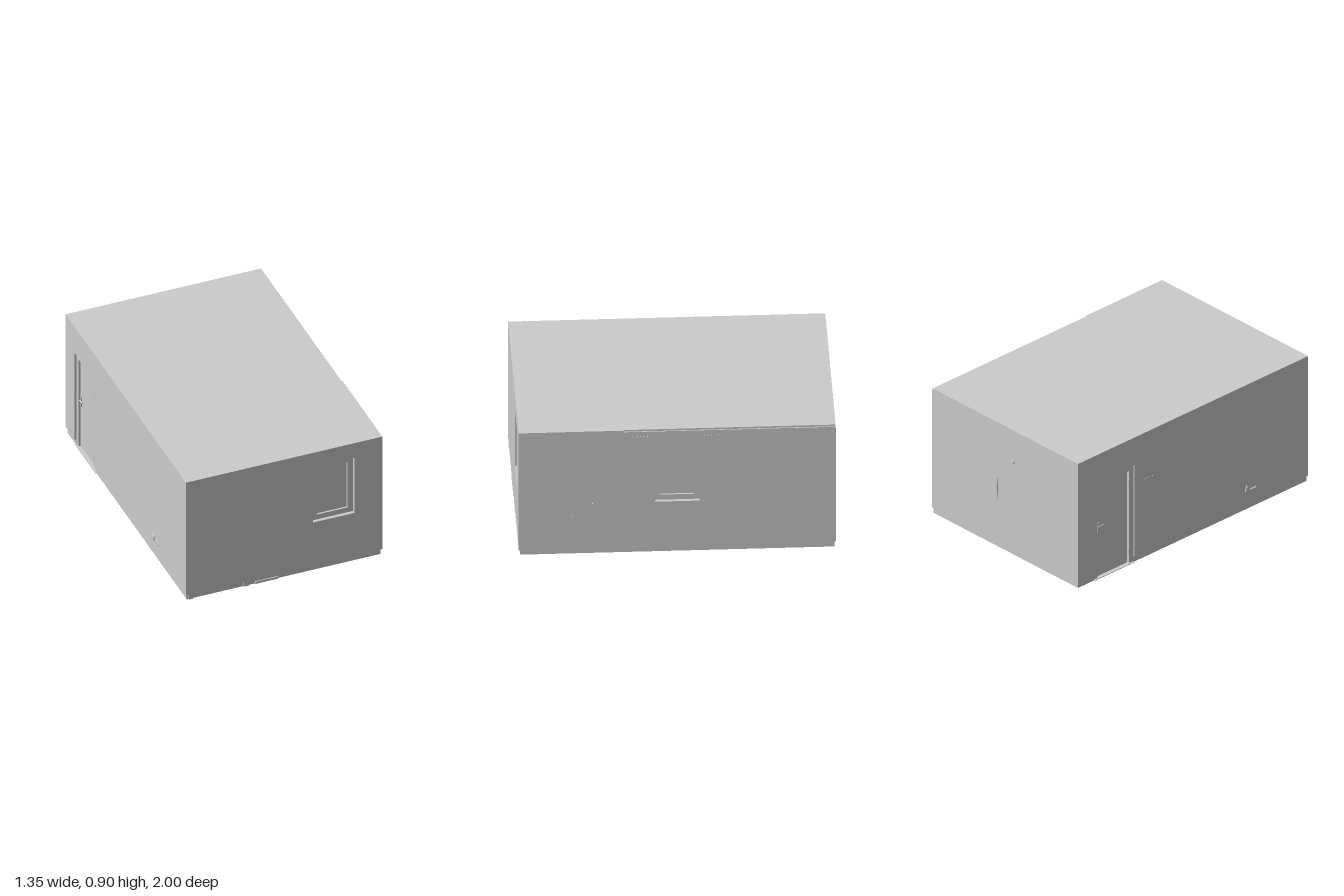
import * as THREE from 'three';

const X0 = -0.67, X1 = 0.66, Z0 = -0.99, Z1 = 1; // outer faces of the room
const H = 0.9, SKIRT = 0.04, ROOF = 0.012, T = 0.035;
const grey = new THREE.MeshStandardMaterial({ color: 0xcccccc, flatShading: true });

function add(parent, name, geometry, x = 0, y = 0, z = 0) {
  const mesh = new THREE.Mesh(geometry, grey);
  mesh.name = name;
  mesh.position.set(x, y, z);
  parent.add(mesh);
  return mesh;
}

// Box given by its limits
function block(parent, name, x0, x1, y0, y1, z0, z1) {
  return add(parent, name, new THREE.BoxGeometry(x1 - x0, y1 - y0, z1 - z0),
    (x0 + x1) / 2, (y0 + y1) / 2, (z0 + z1) / 2);
}

const polygon = (pts) => new THREE.Shape(pts.map(([x, y]) => new THREE.Vector2(x, y)));
const rect = (a, b, c, d) => polygon([[a, c], [b, c], [b, d], [a, d]]);
const extrude = (shape, depth) => new THREE.ExtrudeGeometry(shape, { depth, bevelEnabled: false });

// Upright side of the room: local x runs along the wall, local z = 0 is its outer face
function makeSide(name, angle, x, z) {
  const side = new THREE.Group();
  side.name = name;
  side.rotation.y = angle;
  side.position.set(x, 0, z);
  return side;
}

function wallPanel(side, shape) {
  add(side, 'wall', extrude(shape, T), 0, 0, -T);
}

// Recessed casing with a sunken pane; the opening is cut in the wall
function windowUnit(side, wall, a, b, c, d, rim) {
  wall.holes.push(rect(a, b, c, d));
  const casing = rect(a, b, c, d);
  casing.holes.push(rect(a + rim, b - rim, c + rim, d - rim));
  add(side, 'windowFrame', extrude(casing, 0.012), 0, 0, -T);
}

export function createModel() {
  const room = new THREE.Group();
  room.name = 'room';

  // Core behind the wall panels, which also closes the window openings
  block(room, 'core', X0 + T, X1 - T, 0.002, H - ROOF, Z0 + T, Z1 - T);

  // Roof plate with a narrow slot along part of one edge
  const roofShape = polygon([[X0, -Z1], [X1, -Z1], [X1, -0.34], [X1 - 0.007, -0.34],
    [X1 - 0.007, -Z0], [X0, -Z0]]);
  const roof = add(room, 'roof', extrude(roofShape, ROOF), 0, H - ROOF, 0);
  roof.rotation.x = -Math.PI / 2;

  // Set-back skirting, notched for the doorway
  const s = 0.008, dz0 = -0.84, dz1 = -0.5;
  const skirtShape = polygon([[X0 + s, -Z1 + s], [X1 - s, -Z1 + s], [X1 - s, -Z0 - s],
    [X0 + s, -Z0 - s], [X0 + s, -dz0], [X0 + T, -dz0], [X0 + T, -dz1], [X0 + s, -dz1]]);
  const skirt = add(room, 'skirting', extrude(skirtShape, SKIRT), 0, 0, 0);
  skirt.rotation.x = -Math.PI / 2;

  const top = H - ROOF;
  const front = makeSide('frontSide', 0, 0, Z1);
  const right = makeSide('windowSide', Math.PI / 2, X1, 0);
  const back = makeSide('backSide', Math.PI, 0, Z0);
  const left = makeSide('doorSide', -Math.PI / 2, X0, 0);
  room.add(front, right, back, left);

  // Front wall: window, plus low blocks that interrupt the skirting
  const frontWall = rect(X0, X1, SKIRT, top);
  windowUnit(front, frontWall, 0.19, 0.47, 0.367, 0.787, 0.037);
  wallPanel(front, frontWall);
  for (const [a, b] of [[-0.65, -0.62], [-0.28, -0.24]]) {
    block(front, 'skirtingBlock', a, b, 0, SKIRT, -T, -0.001);
  }
  block(front, 'lowLedge', -0.2, -0.045, 0, 0.016, -T, -0.001);

  // Window wall: window, curtain hook tips and small studs
  const rightWall = rect(-Z1 + T, -Z0 - T, SKIRT, top);
  windowUnit(right, rightWall, -0.145, 0.135, 0.37, 0.787, 0.037);
  wallPanel(right, rightWall);
  for (const u of [-0.285, -0.255, -0.235, -0.215, -0.19, 0.165, 0.19, 0.21, 0.25, 0.27]) {
    add(right, 'curtainHook', new THREE.SphereGeometry(0.005, 8, 6), u, 0.85, 0);
  }
  for (const [u, y] of [[-0.535, 0.37], [-0.67, 0.28]]) {
    add(right, 'stud', new THREE.SphereGeometry(0.006, 8, 6), u, y, 0.001);
  }

  // Back wall: slim pull handle and a knob
  wallPanel(back, rect(-X1, -X0, SKIRT, top));
  const pull = new THREE.CatmullRomCurve3([[0.345, -0.004], [0.39, 0.003], [0.48, 0.003], [0.525, -0.004]]
    .map(([y, z]) => new THREE.Vector3(-0.06, y, z)));
  add(back, 'pullHandle', new THREE.TubeGeometry(pull, 16, 0.004, 8));
  const knob = add(back, 'knob', new THREE.SphereGeometry(0.016, 12, 8), 0.085, 0.675, 0);
  knob.scale.set(0.6, 1, 0.5);

  // Door wall: panel cut around the doorway
  wallPanel(left, polygon([[Z0 + T, SKIRT], [dz0, SKIRT], [dz0, 0.7], [dz1, 0.7],
    [dz1, SKIRT], [Z1 - T, SKIRT], [Z1 - T, top], [Z0 + T, top]]));
  add(left, 'doorFrame', extrude(polygon([[dz0, 0], [dz0 + 0.03, 0], [dz0 + 0.03, 0.668],
    [dz1 - 0.035, 0.668], [dz1 - 0.035, 0], [dz1, 0], [dz1, 0.7], [dz0, 0.7]]), T - 0.012), 0, 0, -T);
  block(left, 'door', dz0 + 0.035, dz1 - 0.04, 0.006, 0.662, -T, -T + 0.01);
  block(left, 'threshold', dz0, dz1, 0, 0.004, -T, 0);
  block(left, 'doorLockPlate', -0.797, -0.782, 0.32, 0.39, -T, -0.02);
  const lever = add(left, 'doorLever', new THREE.CylinderGeometry(0.005, 0.005, 0.04, 10), -0.775, 0.365, -0.015);
  lever.rotation.z = Math.PI / 2;
  for (const y of [0.09, 0.58]) {
    add(left, 'doorHinge', new THREE.CylinderGeometry(0.005, 0.005, 0.05, 10), -0.538, y, -0.014);
  }

  // Small fittings showing through the door wall
  for (let i = 0; i < 4; i++) {
    add(left, 'coatHook', new THREE.SphereGeometry(0.005, 8, 6), -0.41 + i * 0.022, 0.565, 0);
  }
  const rounded = add(left, 'roundedFitting', new THREE.SphereGeometry(0.03, 14, 10), 0.47, 0.143, 0);
  rounded.scale.set(0.5, 1, 0.35);
  for (let i = 0; i < 3; i++) {
    add(left, 'smallFitting', new THREE.SphereGeometry(0.009, 8, 6), 0.505 + i * 0.02, 0.135, 0);
  }
  return room;
}
